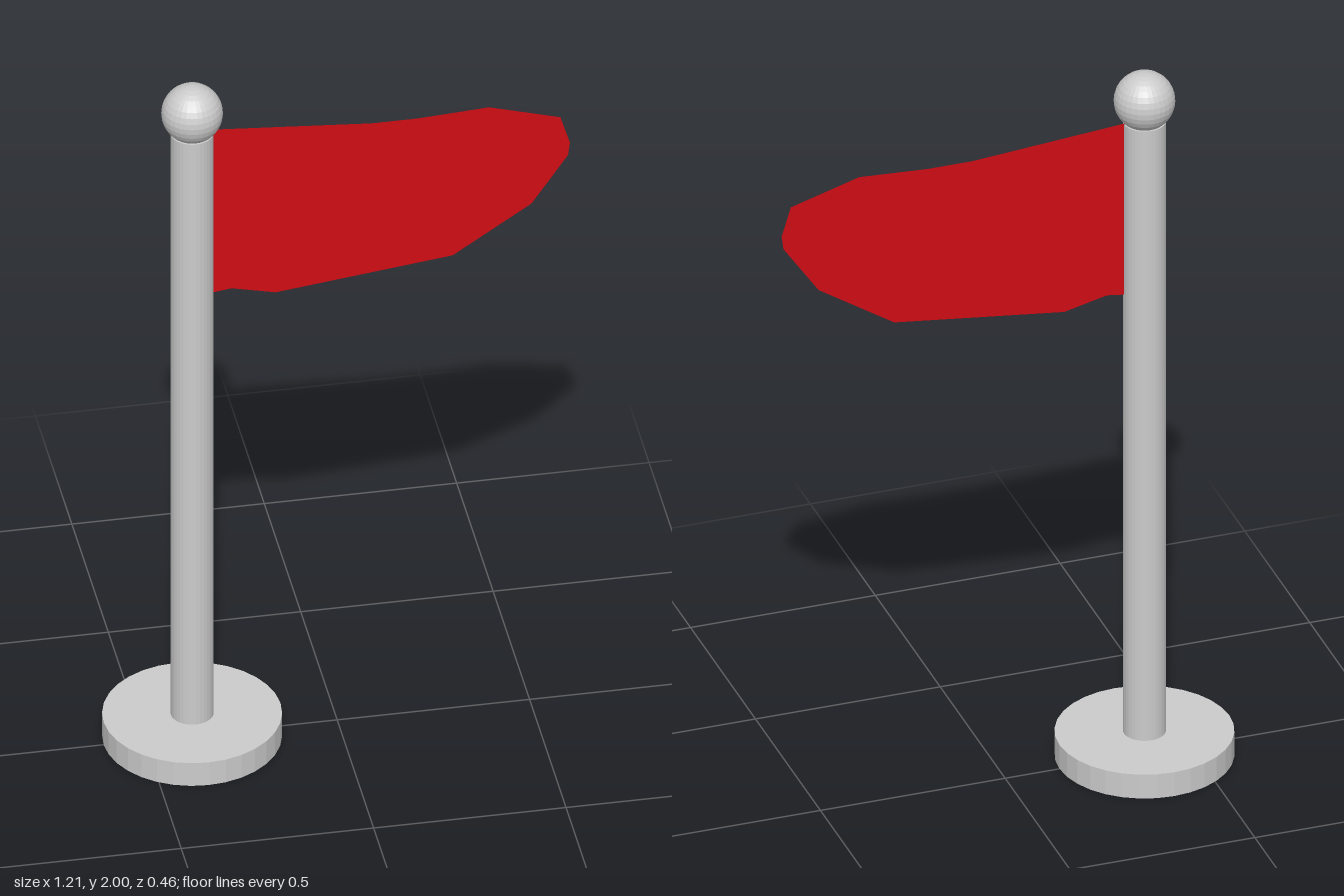
import * as THREE from 'three';

const POLE_X = -0.377;

export function createModel() {
  const group = new THREE.Group();
  const grey = new THREE.MeshStandardMaterial({ color: 0xcccccc, flatShading: true });
  const red = new THREE.MeshStandardMaterial({ color: 0xd00c14, side: THREE.DoubleSide });

  const add = (name, geometry, material, x = 0, y = 0) => {
    const mesh = new THREE.Mesh(geometry, material);
    mesh.name = name;
    mesh.position.set(x, y, 0);
    group.add(mesh);
  };

  // Round foot, pole and ball finial share one vertical axis
  add('base', new THREE.CylinderGeometry(0.23, 0.23, 0.07, 32), grey, POLE_X, 0.035);
  add('pole', new THREE.CylinderGeometry(0.055, 0.055, 1.8, 32), grey, POLE_X, 0.96);
  add('finial', new THREE.SphereGeometry(0.079, 32, 16), grey, POLE_X, 1.921);

  // Thin flat flag with a wavy outline, its inner edge tucked into the pole
  const outline = [
    [-0.35, 1.36], [-0.325, 1.36], [-0.275, 1.367], [-0.16, 1.34], [0.3, 1.396],
    [0.505, 1.53], [0.6, 1.668], [0.605, 1.705], [0.58, 1.787], [0.395, 1.841],
    [0.21, 1.83], [0.09, 1.83], [-0.325, 1.863], [-0.35, 1.86],
  ].map(([x, y]) => new THREE.Vector2(x, y));
  add('flag', new THREE.ShapeGeometry(new THREE.Shape(outline)), red);

  return group;
}
